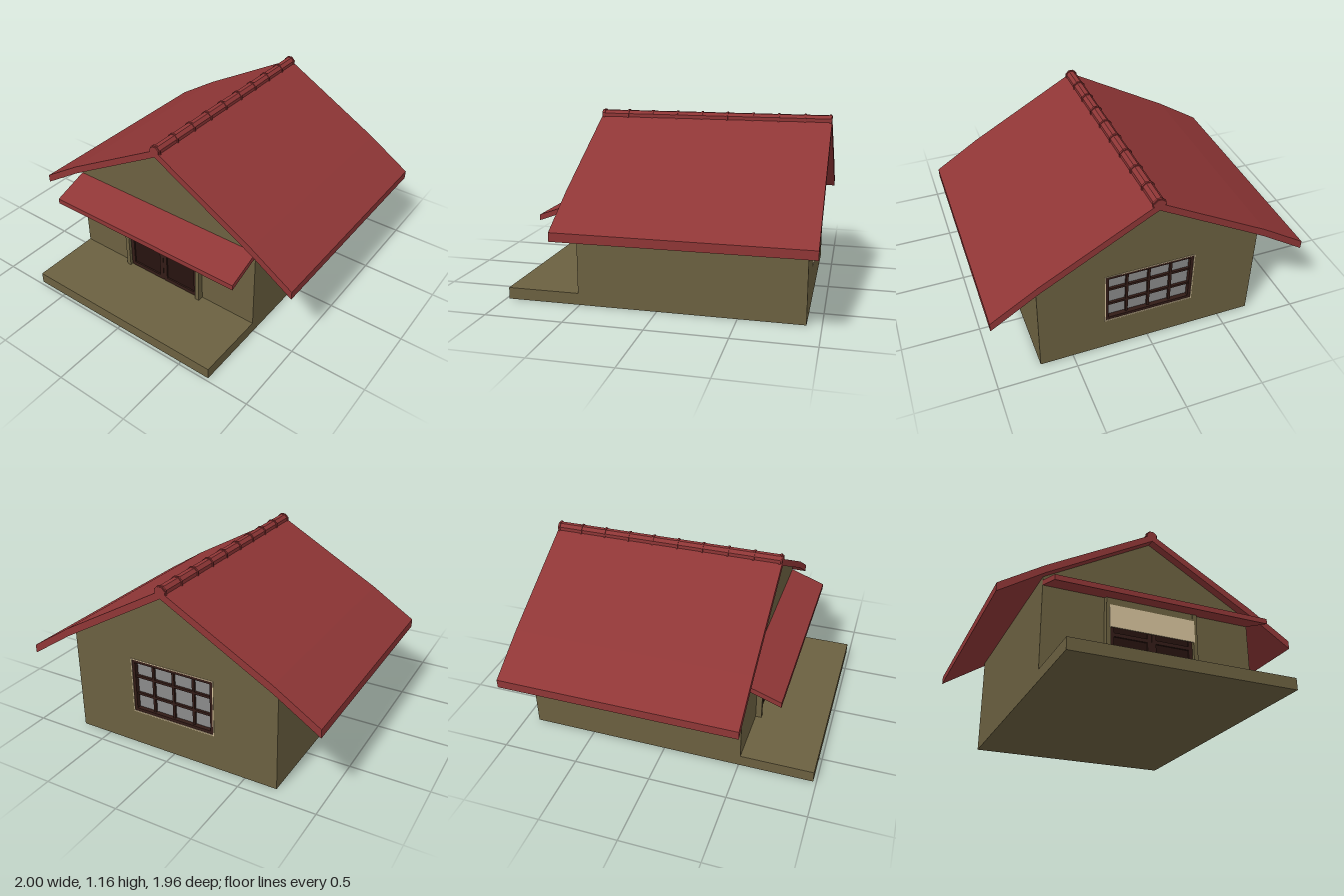
import * as THREE from 'three';

const mat = (color) => new THREE.MeshStandardMaterial({ color });

export function createModel() {
  const house = new THREE.Group();
  house.name = 'house';
  const wall = mat(0x6b6040), red = mat(0x8f3636), dark = mat(0x321b16);
  const panelDark = mat(0x27130f), cloth = mat(0xd4c09a), glass = mat(0x8a8a8a);

  const add = (parent, name, geometry, material) => {
    const mesh = new THREE.Mesh(geometry, material);
    mesh.name = name;
    parent.add(mesh);
    return mesh;
  };
  // box given by its limits
  const box = (parent, name, material, x0, x1, y0, y1, z0, z1) => {
    const mesh = add(parent, name, new THREE.BoxGeometry(x1 - x0, y1 - y0, z1 - z0), material);
    mesh.position.set((x0 + x1) / 2, (y0 + y1) / 2, (z0 + z1) / 2);
    return mesh;
  };
  const outline = (points) => new THREE.Shape(points.map(([x, y]) => new THREE.Vector2(x, y)));
  const rect = (x0, x1, y0, y1) => outline([[x0, y0], [x1, y0], [x1, y1], [x0, y1]]);
  // shape swept from z0 to z1
  const slab = (shape, z0, z1) =>
    new THREE.ExtrudeGeometry(shape, { depth: z1 - z0, bevelEnabled: false }).translate(0, 0, z0);
  const frameShape = (x0, x1, y0, y1, t) => {
    const shape = rect(x0, x1, y0, y1);
    shape.holes.push(rect(x0 + t, x1 - t, y0 + t, y1 - t));
    return shape;
  };
  const group = (name) => {
    const g = new THREE.Group();
    g.name = name;
    house.add(g);
    return g;
  };

  // porch and gabled body; the back wall has a window opening
  const W = 0.71;
  const gable = () => outline([[-W, 0], [W, 0], [W, 0.68], [0, 1.085], [-W, 0.68]]);
  box(house, 'porchFloor', wall, -W, W, 0, 0.075, 0.51, 0.98);
  add(house, 'body', slab(gable(), -0.86, 0.51), wall);
  const [wx, wy0, wy1] = [0.285, 0.235, 0.595];
  const backShape = gable();
  backShape.holes.push(rect(-wx, wx, wy0, wy1));
  add(house, 'backWall', slab(backShape, -0.91, -0.86), wall);

  // back window, four panes by three
  const windowGroup = group('backWindow');
  box(windowGroup, 'glass', glass, -wx, wx, wy0, wy1, -0.88, -0.86);
  add(windowGroup, 'windowFrame', slab(frameShape(-wx, wx, wy0, wy1, 0.02), -0.908, -0.87), dark);
  add(windowGroup, 'windowTrim',
    slab(frameShape(-wx - 0.006, wx + 0.006, wy0 - 0.006, wy1 + 0.006, 0.006), -0.913, -0.9), cloth);
  for (let i = 1; i < 4; i++) {
    const x = -wx + (2 * wx * i) / 4;
    box(windowGroup, 'uprightBar', dark, x - 0.008, x + 0.008, wy0, wy1, -0.895, -0.875);
  }
  for (let i = 1; i < 3; i++) {
    const y = wy0 + ((wy1 - wy0) * i) / 3;
    box(windowGroup, 'crossBar', dark, -wx, wx, y - 0.008, y + 0.008, -0.895, -0.875);
  }

  // sliding doors with recessed panels, posts and hanging cloth
  const entrance = group('entrance');
  for (const s of [-1, 1]) {
    const [x0, x1] = s < 0 ? [-0.283, -0.001] : [0.001, 0.283];
    box(entrance, 'doorPanel', panelDark, x0, x1, 0.075, 0.54, 0.505, 0.518);
    add(entrance, 'doorFrame', slab(frameShape(x0, x1, 0.075, 0.54, 0.028), 0.51, 0.528), dark);
    box(entrance, 'doorRail', dark, x0, x1, 0.36, 0.385, 0.51, 0.528);
    const p = s * 0.2965;
    box(entrance, 'doorPost', wall, p - 0.0145, p + 0.0145, 0.075, 0.63, 0.5, 0.549);
  }
  box(entrance, 'lintel', wall, -0.31, 0.31, 0.54, 0.63, 0.5, 0.546);
  box(entrance, 'hangingCloth', cloth, -0.291, 0.291, 0.41, 0.56, 0.545, 0.552);

  // awning over the porch, swept along x
  const awning = slab(outline([[0.5, 0.625], [0.745, 0.535], [0.745, 0.57], [0.5, 0.659]]), -W, W);
  add(house, 'awning', awning.rotateY(-Math.PI / 2), red);

  // main roof, slightly bent above the side walls
  const top = [[0.71, 0.73], [1, 0.545]];
  const under = [[1, 0.49], [0.71, 0.678]];
  const half = [...top, ...under];
  const flip = half.map(([x, y]) => [-x, y]).reverse();
  const roofShape = outline([[0, 1.128], ...half, [0, 1.08], ...flip]);
  add(house, 'roof', slab(roofShape, -0.98, 0.565), red);

  // ridge tile with evenly spaced bands
  const ridge = group('ridge');
  const tile = (name, r, z0, z1) => {
    const geometry = new THREE.CylinderGeometry(r, r, z1 - z0, 8).toNonIndexed();
    geometry.rotateY(Math.PI / 8).rotateX(Math.PI / 2);
    geometry.computeVertexNormals();
    add(ridge, name, geometry, red).position.set(0, 1.118, (z0 + z1) / 2);
  };
  tile('ridgeTile', 0.036, -0.98, 0.565);
  for (let i = 0; i < 10; i++) {
    const z = Math.max(-0.97, 0.55 - i * 0.17);
    tile('ridgeBand', 0.042, z - 0.006, z + 0.006);
  }
  return house;
}
